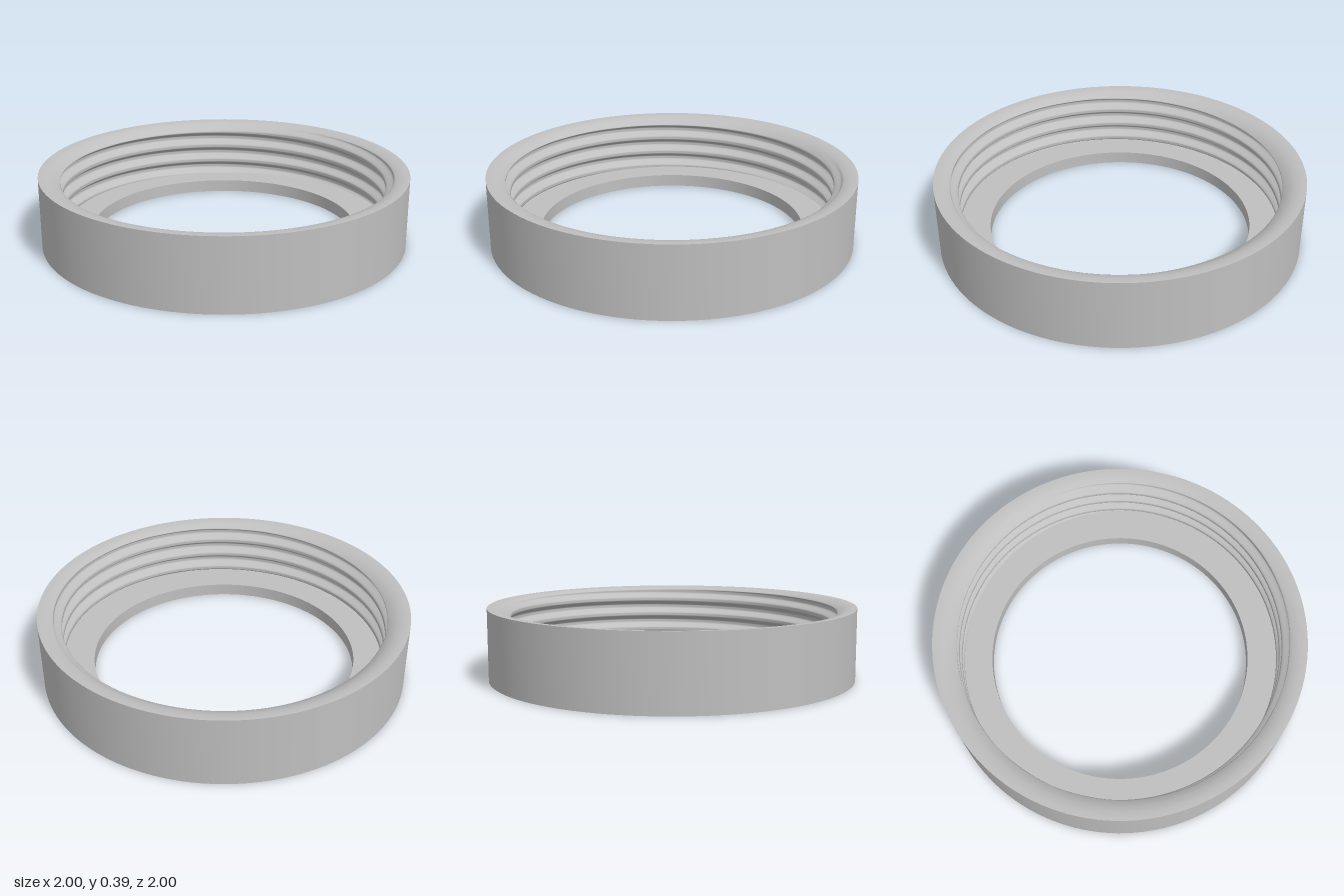
import * as THREE from 'three';
import { toCreasedNormals } from 'three/addons/utils/BufferGeometryUtils.js';

const SEGMENTS = 128;
const HEIGHT = 0.39, OUTER = 1, CREST = 0.875, ROOT = 0.917;
const HOLE = 0.72, LIP = 0.07, PITCH = 0.095;
const RIM_IN = 0.925, RIM_DROP = 0.045;

// rounded rim: height for a radius, and radius for a height
const rimY = (r) => HEIGHT - RIM_DROP * Math.pow((OUTER - r) / (OUTER - CREST), 2.5);
const rimR = (y) => OUTER - (OUTER - CREST) * Math.pow((HEIGHT - y) / RIM_DROP, 0.4);

// radius of the threaded wall: a right-handed helical groove cut into the crest
function wallRadius(y, angle) {
  const turns = (y - 0.367) / PITCH + angle / (2 * Math.PI);
  const fromRoot = Math.abs(turns - Math.round(turns)) * 2;
  const depth = THREE.MathUtils.smoothstep(0.85 - fromRoot, 0, 0.7);
  const wall = CREST + (ROOT - CREST) * depth;
  return y > HEIGHT - RIM_DROP ? Math.max(wall, rimR(y)) : wall;
}

function threadGeometry() {
  const rows = 90, top = rimY(RIM_IN);
  const positions = [], index = [];
  for (let i = 0; i <= rows; i++) {
    const y = LIP + (top - LIP) * i / rows;
    for (let j = 0; j < SEGMENTS; j++) {
      const angle = j / SEGMENTS * Math.PI * 2;
      const r = wallRadius(y, angle);
      positions.push(r * Math.cos(angle), y, r * Math.sin(angle));
    }
  }
  for (let i = 0; i < rows; i++) {
    for (let j = 0; j < SEGMENTS; j++) {
      const a = i * SEGMENTS + j, c = i * SEGMENTS + (j + 1) % SEGMENTS;
      const b = a + SEGMENTS, d = c + SEGMENTS;
      index.push(a, c, b, b, c, d);
    }
  }
  const geometry = new THREE.BufferGeometry();
  geometry.setAttribute('position', new THREE.Float32BufferAttribute(positions, 3));
  geometry.setIndex(index);
  geometry.computeVertexNormals();
  return geometry;
}

export function createModel() {
  const group = new THREE.Group();
  group.name = 'threadedRing';
  const grey = new THREE.MeshStandardMaterial({ color: 0xbfbfbf });
  grey.name = 'grey';

  const add = (name, geometry) => {
    const mesh = new THREE.Mesh(geometry, grey);
    mesh.name = name;
    group.add(mesh);
  };
  const lathe = (points) => toCreasedNormals(
    new THREE.LatheGeometry(points.map(([r, y]) => new THREE.Vector2(r, y)), SEGMENTS), 0.5);

  // inner lip, underside and outer wall
  add('lipAndOuterWall', lathe([
    [0.93, LIP], [HOLE, LIP], [HOLE, 0], [OUTER, 0], [OUTER, HEIGHT],
  ]));

  // rounded rim falling towards the inside
  const rim = [];
  for (let i = 0; i <= 8; i++) {
    const r = OUTER + (RIM_IN - OUTER) * i / 8;
    rim.push([r, rimY(r)]);
  }
  add('rim', lathe(rim));

  // inside wall with the screw thread
  add('screwThread', threadGeometry());
  return group;
}
